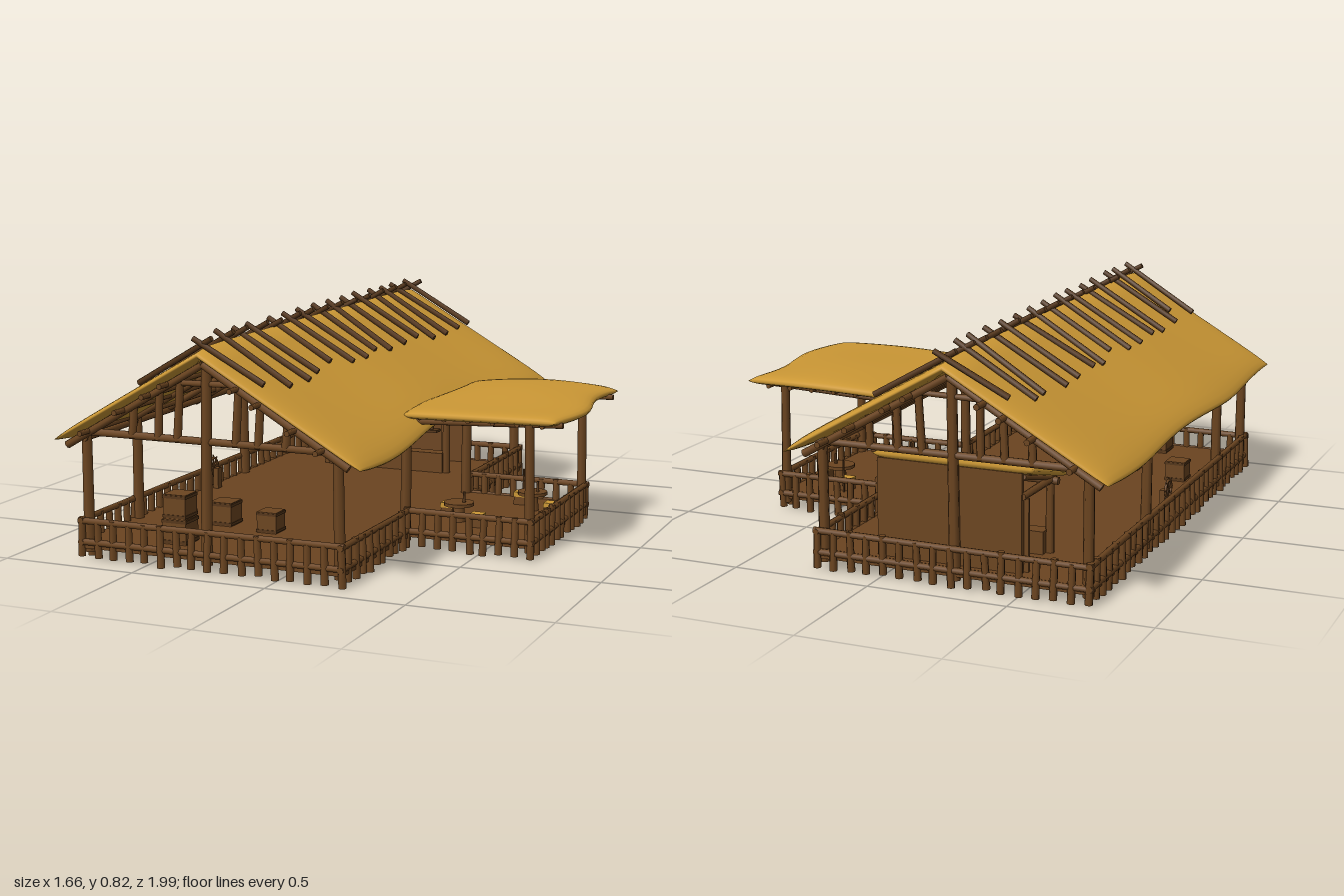
import * as THREE from 'three';
import { mergeVertices } from 'three/addons/utils/BufferGeometryUtils.js';

const mat = (name, color) => Object.assign(new THREE.MeshStandardMaterial({ color }), { name });

export function createModel() {
  const thatch = mat('thatch', 0xcc9835);
  const wood = mat('wood', 0x6c4520);
  const darkWood = mat('dark wood', 0x553619);
  const floorWood = mat('floor wood', 0x6b4420);
  const glass = mat('glass', 0x7d8b92);

  let seed = 7;
  const rnd = (a) => {
    seed = (seed * 16807) % 2147483647;
    return (seed / 2147483647 - 0.5) * 2 * a;
  };
  const root = new THREE.Group();
  const group = (name) => {
    const g = new THREE.Group();
    g.name = name;
    root.add(g);
    return g;
  };
  const add = (parent, name, geo, material, x = 0, y = 0, z = 0) => {
    const m = new THREE.Mesh(geo, material);
    m.name = name;
    m.position.set(x, y, z);
    parent.add(m);
    return m;
  };
  const box = (p, name, w, h, d, x, y, z, m = wood) => add(p, name, new THREE.BoxGeometry(w, h, d), m, x, y, z);

  // Round pole between two points, slightly tapered
  const UP = new THREE.Vector3(0, 1, 0);
  const pole = (p, name, a, b, r, m = wood) => {
    const A = new THREE.Vector3(...a), D = new THREE.Vector3(...b).sub(A);
    const mesh = add(p, name, new THREE.CylinderGeometry(r * 0.9, r, D.length(), 7), m);
    mesh.position.copy(A).addScaledVector(D, 0.5);
    mesh.quaternion.setFromUnitVectors(UP, D.normalize());
    return mesh;
  };

  // Soft thatch slab: middle surface mid(u, v) with thickness fading at the rim
  const slab = (p, name, n, k, half, mid) => {
    const pos = [], idx = [];
    const ease = (t) => (1 - Math.cos(Math.PI * t)) / 2;
    const rim = (u) => Math.sqrt(Math.max(0, 1 - Math.pow(Math.abs(2 * u - 1), 14)));
    for (const side of [1, -1]) {
      const base = pos.length / 3;
      for (let j = 0; j <= k; j++) for (let i = 0; i <= n; i++) {
        const u = ease(i / n), v = ease(j / k);
        const [x, y, z] = mid(u, v);
        pos.push(x, y + side * half * rim(u) * rim(v), z);
        if (i < n && j < k) {
          const a = base + j * (n + 1) + i, b = a + 1, c = a + n + 1, d = c + 1;
          if (side > 0) idx.push(a, c, b, b, c, d);
          else idx.push(a, b, c, b, d, c);
        }
      }
    }
    let geo = new THREE.BufferGeometry();
    geo.setAttribute('position', new THREE.Float32BufferAttribute(pos, 3));
    geo.setIndex(idx);
    geo = mergeVertices(geo);
    geo.computeVertexNormals();
    return add(p, name, geo, thatch);
  };

  // Main roof, wing roof and the little inner roof
  const RX = -0.26;
  const roofY = (x) => 0.757 - 0.585 * Math.abs(x - RX);
  const lerp = THREE.MathUtils.lerp;
  const roofs = group('thatchedRoofs');
  slab(roofs, 'mainRoof', 24, 44, 0.026, (u, v) => {
    const z = lerp(-0.97, 0.96, v);
    const left = -0.825 + 0.01 * Math.cos((z - 0.8) * 6), right = 0.31 + 0.02 * Math.cos((z + 0.75) * 4);
    const x = u < 0.5 ? lerp(left, RX, u * 2) : lerp(RX, right, u * 2 - 1);
    const out = Math.abs(2 * u - 1);
    return [x, roofY(x) + 0.008 * out * Math.sin(z * 6 + 1), z];
  });
  slab(roofs, 'wingRoof', 20, 20, 0.02, (u, v) => {
    const bulge = Math.sin(Math.PI * u), wave = Math.sin(v * 7);
    const x = lerp(0.22 + 0.008 * wave, 0.8 - 0.025 * wave, u);
    const z = lerp(-0.375 - 0.035 * bulge, 0.355 + 0.02 * bulge, v);
    return [x, 0.49 + 0.022 * bulge * (0.6 + 0.4 * Math.sin(v * 5)) + 0.01 * u, z];
  });
  slab(roofs, 'barRoof', 10, 10, 0.018, (u, v) => [lerp(-0.545, 0.035, u), lerp(0.43, 0.34, v), lerp(-0.88, -0.55, v)]);

  // Crossed sticks holding down the ridge
  const sticks = group('ridgeSticks');
  const stickZ = [-0.94, -0.79, -0.68, -0.55, -0.4, -0.27, -0.14, -0.01, 0.11, 0.24, 0.37, 0.51, 0.64, 0.77, 0.9];
  for (const z of stickZ) for (const s of [-1, 1]) {
    const far = RX + s * (0.24 + rnd(0.03)), near = RX - s * 0.035;
    const top = roofY(RX) + 0.056;
    pole(sticks, 'ridgeStick', [far, roofY(far) + 0.036, z + rnd(0.035)], [near, top + rnd(0.005), z + rnd(0.02)], 0.011, darkWood);
  }

  // Floor: main deck with a wing on the left
  const deck = group('deck');
  box(deck, 'mainFloor', 0.99, 0.03, 1.81, -0.255, 0.06, 0, floorWood);
  box(deck, 'wingFloor', 0.46, 0.03, 0.64, 0.465, 0.06, 0, floorWood);

  // Railing round the deck outline
  const fence = group('railing');
  const outline = [[-0.75, 0.905], [0.235, 0.905], [0.235, 0.325], [0.695, 0.325], [0.695, -0.325],
    [0.235, -0.325], [0.235, -0.905], [-0.75, -0.905]];
  outline.forEach(([x0, z0], i) => {
    const [x1, z1] = outline[(i + 1) % outline.length];
    const len = Math.hypot(x1 - x0, z1 - z0);
    const ex = (x1 - x0) / len * 0.012, ez = (z1 - z0) / len * 0.012;
    for (const y of [0.068, 0.143]) pole(fence, 'rail', [x0 - ex, y, z0 - ez], [x1 + ex, y + rnd(0.004), z1 + ez], 0.012);
    const n = Math.round(len / 0.06);
    for (let k = 0; k < n; k++) {
      const x = lerp(x0, x1, k / n), z = lerp(z0, z1, k / n);
      pole(fence, 'picket', [x + rnd(0.006), 0.012 + rnd(0.006), z + rnd(0.006)], [x, 0.148 + rnd(0.008), z], 0.014);
    }
  });

  // Posts
  const posts = group('posts');
  const postList = [[0.22, 0.31], [0.22, -0.31], [-0.735, 0.54], [-0.735, -0.31]];
  for (const z of [-0.88, 0.88]) postList.push([-0.735, z], [0.22, z]);
  for (const [x, z] of postList) pole(posts, 'post', [x, 0.03, z], [x + rnd(0.006), 0.46, z], 0.02);
  for (const z of [-0.31, 0.31]) pole(posts, 'wingPost', [0.685, 0.03, z], [0.68, 0.49, z], 0.018);

  // Gable trusses at both ends
  const frame = group('roofFrame');
  for (const z of [-0.89, 0.89]) {
    pole(frame, 'kingPost', [-0.27, 0.03, z], [-0.26, 0.745, z], 0.02);
    pole(frame, 'tieBeam', [-0.72, 0.457, z], [0.24, 0.455, z], 0.014);
    pole(frame, 'collar', [-0.4, 0.65, z], [-0.12, 0.655, z], 0.011);
    for (const x of [-0.55, -0.45, -0.37, -0.15, -0.07, 0.03])
      pole(frame, 'gableStud', [x + rnd(0.008), 0.45, z], [x + 0.01, roofY(x) - 0.025, z], 0.015);
  }
  // Rafters, purlins and eave beams
  for (const z of [-0.92, -0.6, -0.31, 0, 0.31, 0.6, 0.92]) for (const s of [-1, 1]) {
    const x = RX + s * 0.53;
    pole(frame, 'rafter', [x, roofY(x) - 0.035, z], [RX, roofY(RX) - 0.035, z], 0.014);
  }
  for (const x of [-0.7, -0.56, -0.46, -0.39, -0.13, -0.05, 0.08, 0.18])
    pole(frame, 'purlin', [x, roofY(x) - 0.032, -0.995 + Math.abs(rnd(0.02))], [x, roofY(x) - 0.032, 0.985 + rnd(0.01)], 0.011);
  for (const x of [-0.735, 0.22]) pole(frame, 'eaveBeam', [x, 0.435, -0.9], [x, 0.435, 0.9], 0.014);

  // Wing roof frame
  for (const z of [-0.31, 0.31]) pole(frame, 'wingBeam', [0.2, 0.462, z], [0.8, 0.487, z], 0.012);
  for (let i = 0; i < 6; i++) {
    const x = 0.28 + i * 0.09;
    pole(frame, 'wingRafter', [x, 0.48, -0.35], [x, 0.48, 0.33], 0.009);
  }

  // Bar hut at the back: posts, rear wall, side panels, shelves
  const hut = group('barHut');
  box(hut, 'rearWall', 0.52, 0.34, 0.02, -0.24, 0.245, -0.865);
  for (const x of [-0.5, 0.02]) {
    pole(hut, 'hutPost', [x, 0.07, -0.62], [x, 0.34, -0.62], 0.016);
    pole(hut, 'hutBeam', [x, 0.33, -0.6], [x, 0.335, -0.87], 0.014);
    pole(hut, 'hutRoofBeam', [x, 0.325, -0.58], [x, 0.4, -0.86], 0.01);
  }
  pole(hut, 'frontBeam', [-0.53, 0.328, -0.62], [0.03, 0.328, -0.62], 0.014);
  box(hut, 'leftPanel', 0.1, 0.25, 0.012, -0.035, 0.2, -0.845);
  box(hut, 'rightPanel', 0.12, 0.25, 0.012, -0.455, 0.2, -0.845);
  for (const y of [0.2, 0.265]) {
    for (const x of [-0.33, -0.165]) {
      box(hut, 'shelf', 0.14, 0.01, 0.045, x, y, -0.83, darkWood);
      for (const dx of [-0.045, 0, 0.04])
        add(hut, 'bottle', new THREE.CylinderGeometry(0.004, 0.009, 0.035, 8), dx ? darkWood : glass, x + dx, y + 0.022, -0.83);
    }
  }
  box(hut, 'counter', 0.5, 0.08, 0.06, -0.24, 0.115, -0.63);

  // Crates on the deck
  const crates = group('crates');
  const crate = (x, y, z, s) => {
    box(crates, 'crate', s, s, s, x, y + s / 2, z);
    for (const h of [0.1, 0.9]) box(crates, 'crateBand', s * 1.06, s * 0.12, s * 1.06, x, y + s * h, z, darkWood);
  };
  crate(-0.42, 0.075, 0.8, 0.09);
  crate(-0.42, 0.165, 0.8, 0.085);
  crate(-0.62, 0.075, 0.42, 0.075);
  crate(-0.4, 0.075, 0.5, 0.085);
  crate(-0.2, 0.075, 0.54, 0.075);

  // Spoked wheel by the right railing
  const wheel = group('spokedWheel');
  wheel.position.set(-0.72, 0.16, -0.01);
  wheel.rotation.y = Math.PI / 2;
  add(wheel, 'wheelRim', new THREE.TorusGeometry(0.032, 0.005, 6, 20), wood);
  for (let i = 0; i < 4; i++) {
    const a = i * Math.PI / 4, c = Math.cos(a) * 0.044, s = Math.sin(a) * 0.044;
    pole(wheel, 'spoke', [-c, -s, 0], [c, s, 0], 0.003);
  }
  box(wheel, 'wheelStand', 0.03, 0.08, 0.02, 0, -0.045, 0.018);

  // Wing furniture: low tables, straw stools, candles
  const seats = group('wingFurniture');
  for (const [x, z] of [[0.36, 0.14], [0.55, -0.13]]) {
    add(seats, 'tableLeg', new THREE.CylinderGeometry(0.02, 0.025, 0.06, 8), wood, x, 0.105, z);
    add(seats, 'tableTop', new THREE.CylinderGeometry(0.055, 0.055, 0.012, 14), wood, x, 0.14, z);
    add(seats, 'candle', new THREE.CylinderGeometry(0.004, 0.006, 0.04, 6), darkWood, x + 0.02, 0.165, z);
    for (const [dx, dz] of [[0.09, 0.05], [-0.07, -0.08]]) {
      box(seats, 'stool', 0.045, 0.03, 0.045, x + dx, 0.09, z + dz);
      box(seats, 'strawCushion', 0.048, 0.018, 0.048, x + dx, 0.114, z + dz, thatch);
    }
  }
  pole(seats, 'tallCandle', [0.475, 0.07, -0.25], [0.475, 0.2, -0.25], 0.004, darkWood);

  // Hanging cord under the outer edge of the wing roof
  const cord = new THREE.QuadraticBezierCurve3(new THREE.Vector3(0.68, 0.475, -0.28),
    new THREE.Vector3(0.7, 0.42, 0), new THREE.Vector3(0.68, 0.475, 0.28));
  add(seats, 'hangingCord', new THREE.TubeGeometry(cord, 16, 0.003, 5), glass);
  return root;
}
